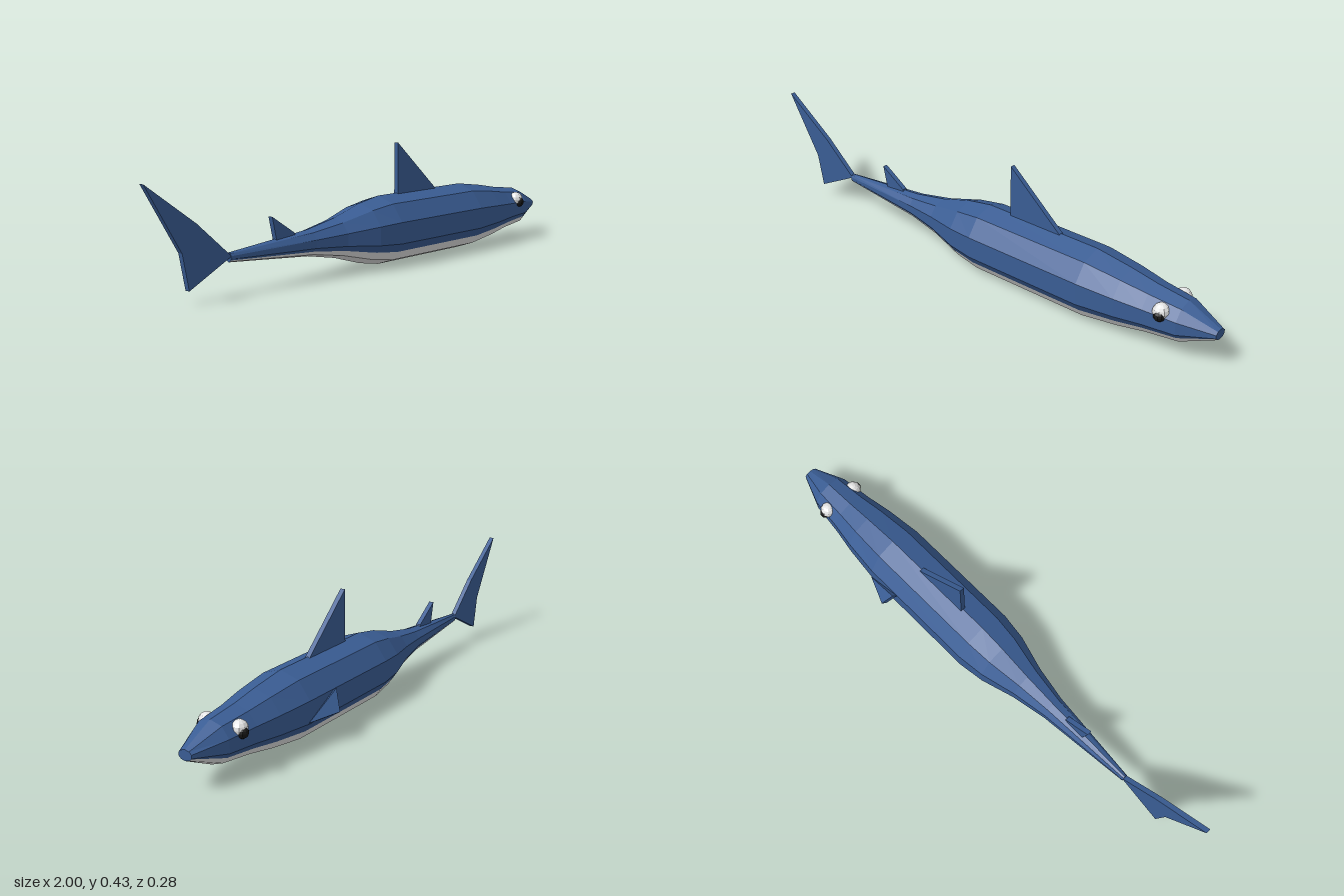
import * as THREE from 'three';

const MID_Y = 0.126, MID_Z = 0.024;

// Body sections from tail to snout: x, half height, half width, paint edge (in tenths of a turn from the top)
const SECTIONS = [
  [-0.665, 0.016, 0.012, 3.5],
  [-0.31, 0.046, 0.046, 3.5],
  [-0.18, 0.07, 0.07, 3.5],
  [-0.05, 0.107, 0.107, 3.5],
  [0.05, 0.124, 0.12, 3.5],
  [0.52, 0.124, 0.12, 3.5],
  [0.66, 0.105, 0.105, 3.5],
  [0.76, 0.087, 0.088, 3.5],
  [0.88, 0.073, 0.074, 3.45],
  [1.0, 0.018, 0.026, 3.2],
];

export function createModel() {
  const mat = (name, color) => new THREE.MeshStandardMaterial({ name, color, flatShading: true });
  const blue = mat('skin blue', 0x3a5d94);
  const pale = mat('belly pale', 0xe4e4e4);
  const black = mat('pupil black', 0x161616);

  const model = new THREE.Group();
  model.name = 'shark';
  const add = (name, geometry, material) => {
    const mesh = new THREE.Mesh(geometry, material);
    mesh.name = name;
    model.add(mesh);
    return mesh;
  };
  const fromTriangles = (points) => {
    const g = new THREE.BufferGeometry().setFromPoints(points);
    g.computeVertexNormals();
    return g;
  };

  // Point on the ten-sided section, k counted from the top towards +z
  const corner = ([x, h, w], k) => {
    const a = k * Math.PI / 5;
    return new THREE.Vector3(x, MID_Y + h * Math.cos(a), MID_Z + w * Math.sin(a));
  };
  const ringPoint = (s, k) => {
    const k0 = Math.floor(k);
    return corner(s, k0).lerp(corner(s, k0 + 1), k - k0);
  };

  // Strip of skin along the whole body; stepsOf gives the ring positions of a section
  const skin = (stepsOf) => {
    const pts = [];
    for (let i = 0; i < SECTIONS.length - 1; i++) {
      const s = SECTIONS[i], t = SECTIONS[i + 1], ks = stepsOf(s), kt = stepsOf(t);
      for (let j = 0; j < ks.length - 1; j++) {
        const a = ringPoint(s, ks[j]), b = ringPoint(s, ks[j + 1]);
        const c = ringPoint(t, kt[j + 1]), d = ringPoint(t, kt[j]);
        pts.push(a, b, c, a, c, d);
      }
    }
    return fromTriangles(pts);
  };
  add('back', skin((s) => [-s[3], -3, -2, -1, 0, 1, 2, 3, s[3]]), blue);
  add('belly', skin((s) => [s[3], 4, 5, 6, 10 - s[3]]), pale);

  // Closed ends of the body
  const cap = (s, forward) => {
    const centre = new THREE.Vector3(s[0], MID_Y, MID_Z), pts = [];
    for (let k = 0; k < 10; k++) {
      const a = corner(s, k), b = corner(s, k + 1);
      pts.push(centre, forward ? a : b, forward ? b : a);
    }
    return fromTriangles(pts);
  };
  add('snoutTip', cap(SECTIONS[SECTIONS.length - 1], true), blue);
  add('tailStump', cap(SECTIONS[0], false), blue);

  // Upright fins: flat outlines extruded to a thin plate
  const fin = (name, outline) => {
    const shape = new THREE.Shape(outline.map(([x, y]) => new THREE.Vector2(x, y)));
    const g = new THREE.ExtrudeGeometry(shape, { depth: 0.018, bevelEnabled: false });
    add(name, g.translate(0, 0, MID_Z - 0.009), blue);
  };
  fin('dorsalFin', [[0.15, 0.433], [0.15, 0.22], [0.39, 0.22], [0.365, 0.25]]);
  fin('rearFin', [[-0.482, 0.235], [-0.46, 0.14], [-0.37, 0.14], [-0.38, 0.17]]);
  fin('tailFin', [[-1, 0.39], [-0.86, 0.165], [-0.835, 0.045], [-0.66, 0.13], [-0.8, 0.25]]);

  // Side fin: a slanted triangular plate
  const outer = [[0.39, 0.172, -0.105], [0.42, 0.105, -0.138], [0.53, 0.093, -0.092]]
    .map((p) => new THREE.Vector3(...p));
  const inner = outer.map((p) => p.clone().add(new THREE.Vector3(-0.007, -0.01, 0.015)));
  const plate = [outer[0], outer[2], outer[1], ...inner];
  for (let i = 0; i < 3; i++) {
    const j = (i + 1) % 3;
    plate.push(outer[i], outer[j], inner[j], outer[i], inner[j], inner[i]);
  }
  add('sideFin', fromTriangles(plate), blue);

  // Eyes, mirrored about the body's middle plane
  for (const [side, label] of [[1, 'right'], [-1, 'left']]) {
    add(label + 'Eye', new THREE.SphereGeometry(0.029, 10, 8), pale)
      .position.set(0.82, 0.163, MID_Z + side * 0.062);
    add(label + 'Pupil', new THREE.SphereGeometry(0.02, 10, 8), black)
      .position.set(0.823, 0.154, MID_Z + side * 0.076);
  }
  return model;
}
